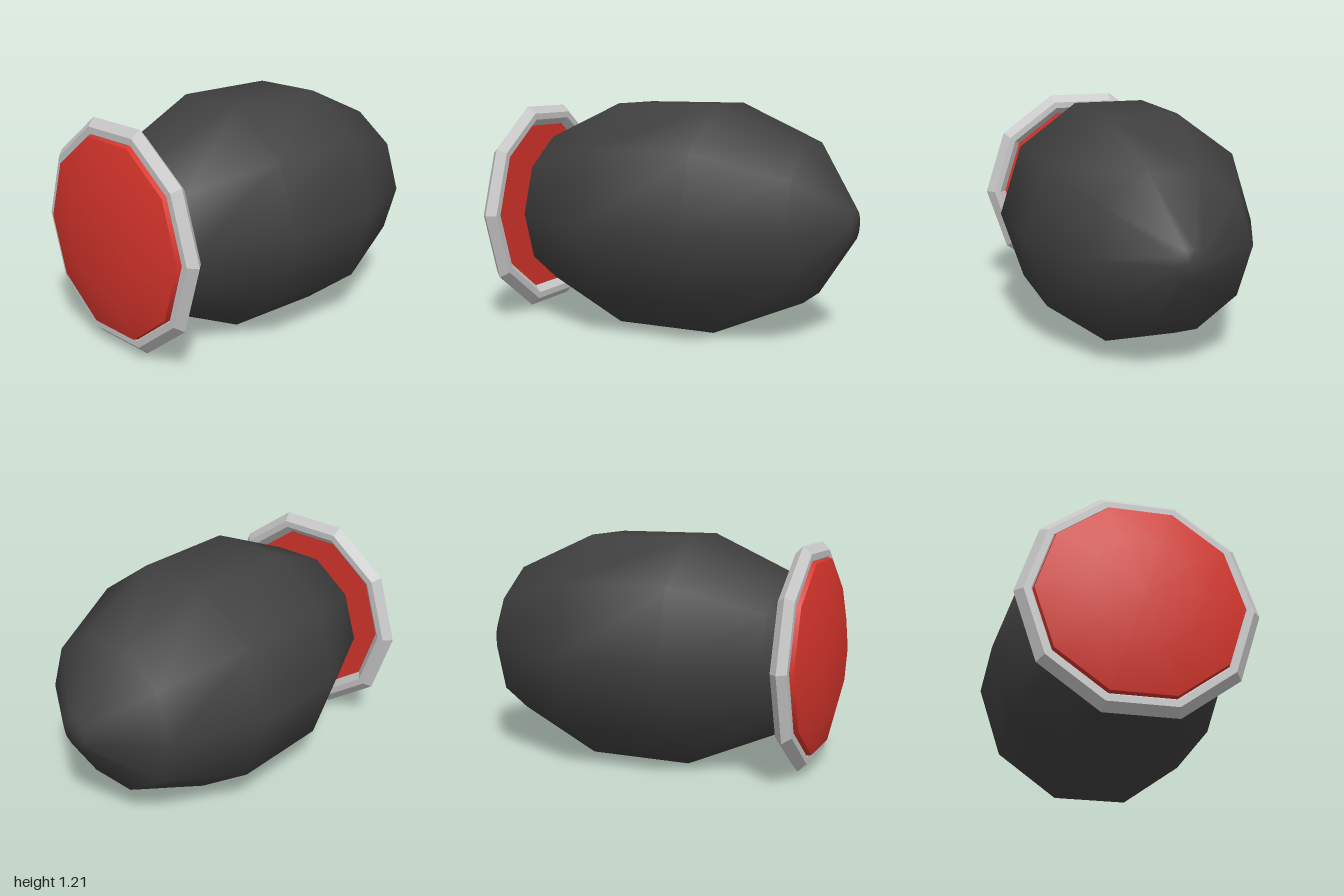
import * as THREE from 'three';

const SIDES = 10;
const AXIS_Y = 0.605; // height of the long axis

// Turns a list of [x, radius] points, ordered by rising x, about the long axis
function turned(points, faceted = false) {
  let g = new THREE.LatheGeometry(points.map(([x, r]) => new THREE.Vector2(r, x)), SIDES);
  if (faceted) {
    g = g.toNonIndexed();
    g.computeVertexNormals();
  }
  g.rotateZ(-Math.PI / 2);
  g.translate(0, AXIS_Y, 0);
  return g;
}

export function createModel() {
  const group = new THREE.Group();
  const material = (name, color) => {
    const m = new THREE.MeshStandardMaterial({ color });
    m.name = name;
    return m;
  };
  const charcoal = material('charcoal', 0x404040);
  const silver = material('silver', 0xc8c8c8);
  const red = material('red', 0xd8352c);

  const add = (name, geometry, mat) => {
    const mesh = new THREE.Mesh(geometry, mat);
    mesh.name = name;
    group.add(mesh);
  };

  // Egg-shaped body, its right end tucked into the disc
  add('body', turned([
    [-0.97, 0], [-0.97, 0.08], [-0.74, 0.426], [-0.27, 0.635],
    [0.295, 0.635], [0.77, 0.426], [1, 0.08], [1, 0],
  ]), charcoal);

  // Bevelled rim with a closed six-sided section
  add('rim', turned([
    [-0.87, 0.485], [-0.912, 0.527], [-0.912, 0.563], [-0.87, 0.605],
    [-0.828, 0.563], [-0.828, 0.527], [-0.87, 0.485],
  ], true), silver);

  // Red disc: shallow dome outside, short band, flat inner face
  add('discDome', turned([[-1, 0], [-1, 0.28], [-0.932, 0.515]]), red);
  add('discBand', turned([[-0.932, 0.515], [-0.865, 0.53]]), red);
  add('discInnerFace', turned([[-0.865, 0.53], [-0.865, 0]]), red);

  return group;
}
